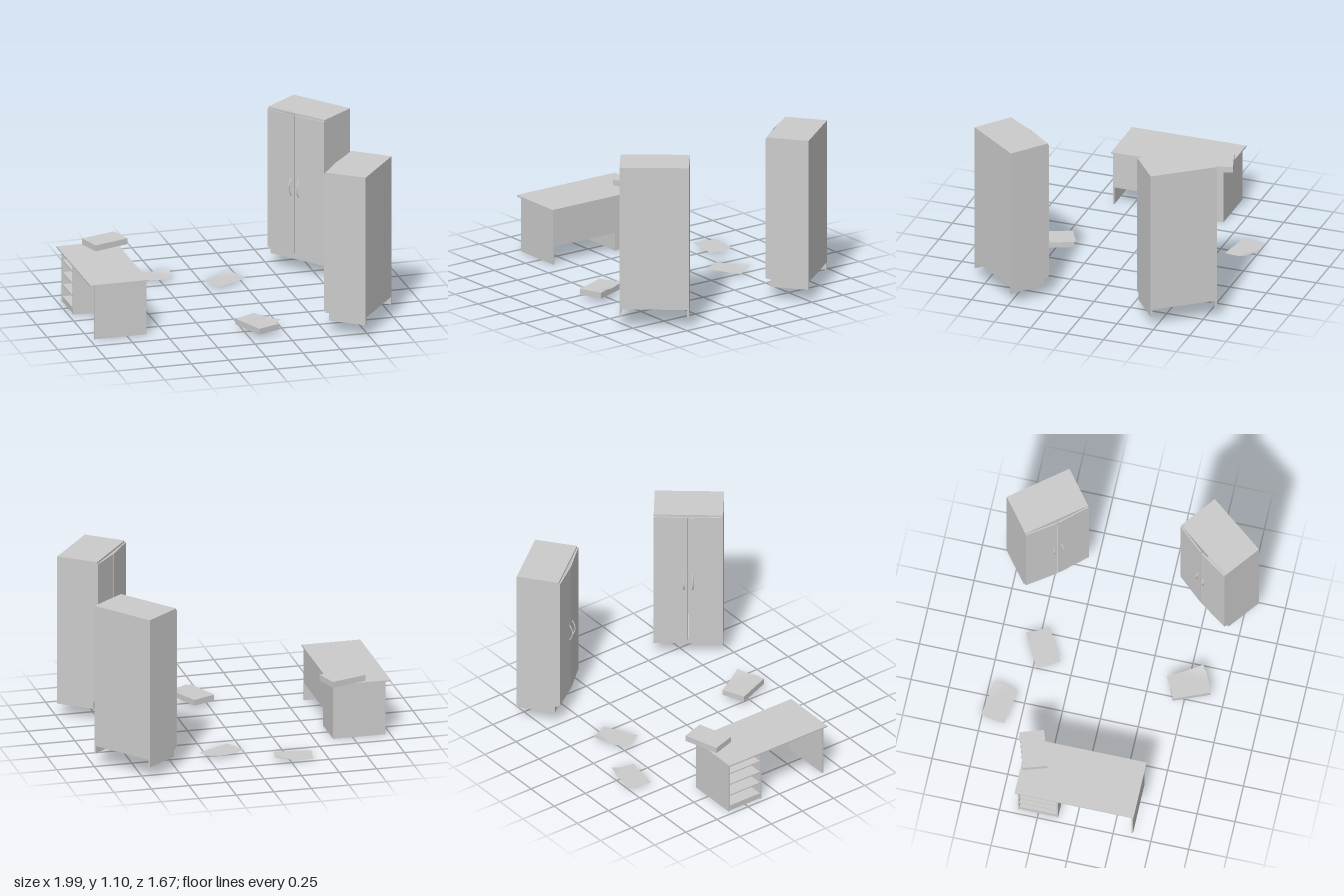
import * as THREE from 'three';

const grey = new THREE.MeshStandardMaterial({ color: 0xcccccc, flatShading: true });
const thin = new THREE.MeshStandardMaterial({ color: 0xcccccc, side: THREE.DoubleSide });

// Box given by its min and max corners
function slab(parent, name, [x0, y0, z0], [x1, y1, z1]) {
  const m = new THREE.Mesh(new THREE.BoxGeometry(x1 - x0, y1 - y0, z1 - z0), grey);
  m.position.set((x0 + x1) / 2, (y0 + y1) / 2, (z0 + z1) / 2);
  m.name = name;
  parent.add(m);
  return m;
}

function makeDesk() {
  const g = new THREE.Group();
  g.name = 'desk';
  const t = 0.01, L = -0.97, R = -0.62, H = 0.365;
  slab(g, 'deskTop', [-1, H, -0.4], [-0.61, 0.375, 0.385]);
  slab(g, 'endPanel', [L, 0, 0.365], [R, H, 0.375]);
  slab(g, 'modestyPanel', [R - t, 0.12, -0.12], [R, H, 0.365]);
  // shelf pedestal, open towards -x
  slab(g, 'pedestalOuterSide', [L, 0, -0.385], [R, H, -0.385 + t]);
  slab(g, 'pedestalInnerSide', [L, 0, -0.12 - t], [R, H, -0.12]);
  slab(g, 'pedestalBack', [R - t, 0, -0.375], [R, H, -0.13]);
  slab(g, 'pedestalPlinth', [L + 0.005, 0, -0.375], [L + 0.015, 0.03, -0.13]);
  for (let i = 0; i < 4; i++) {
    const y = 0.03 + i * 0.083;
    slab(g, 'shelf', [L + 0.005, y, -0.375], [R - t, y + 0.008, -0.13]);
  }
  return g;
}

function makeWardrobe() {
  const g = new THREE.Group();
  g.name = 'wardrobe';
  const w = 0.224, d = 0.14, t = 0.012, y0 = 0.085, yb = 0.135, y1 = 1.095;
  // side panels with a toe notch at the front
  for (const s of [-1, 1]) {
    const x = s * (w - t / 2);
    slab(g, 'sidePanel', [x - t / 2, yb, -d], [x + t / 2, y1, d]);
    slab(g, 'sideFoot', [x - t / 2, y0, -d], [x + t / 2, yb, d - 0.025]);
  }
  slab(g, 'topPanel', [-w + t, y1 - t, -d], [w - t, y1, d]);
  slab(g, 'floorPanel', [-w + t, yb, -d], [w - t, yb + t, d]);
  slab(g, 'backPanel', [-w + t, yb + t, -d], [w - t, y1 - t, -d + 0.008]);
  slab(g, 'plinth', [-w + t, y0, d - 0.037], [w - t, yb, d - 0.025]);
  // doors hinged on the outer edges, slightly ajar
  for (const s of [-1, 1]) {
    const door = new THREE.Group();
    door.name = 'door';
    const len = w - 0.003;
    const x = -s * len;
    slab(door, 'doorPanel', [Math.min(0, x), yb + 0.008, 0], [Math.max(0, x), y1 - 0.012, 0.008]);
    const hx = -s * (len - 0.025);
    const arc = new THREE.QuadraticBezierCurve3(
      new THREE.Vector3(hx, 0.53, 0.006),
      new THREE.Vector3(hx, 0.59, 0.05),
      new THREE.Vector3(hx, 0.65, 0.006));
    const handle = new THREE.Mesh(new THREE.TubeGeometry(arc, 12, 0.004, 6), grey);
    handle.name = 'handle';
    door.add(handle);
    door.position.set(s * w, 0, d);
    door.rotation.y = s * 0.06;
    g.add(door);
  }
  return g;
}

// Paper sheet with one corner curling up
function makeSheet() {
  const geo = new THREE.PlaneGeometry(0.247, 0.16, 14, 10).rotateX(-Math.PI / 2);
  const p = geo.attributes.position;
  for (let i = 0; i < p.count; i++) {
    const u = p.getX(i) / 0.1235, v = -p.getZ(i) / 0.08;
    const k = Math.max(0, (u + v - 0.8) / 1.2);
    p.setY(i, 0.02 * k * k);
  }
  geo.computeVertexNormals();
  const m = new THREE.Mesh(geo, thin);
  m.name = 'paperSheet';
  return m;
}

export function createModel() {
  const model = new THREE.Group();
  model.add(makeDesk());

  for (const s of [-1, 1]) {
    const wardrobe = makeWardrobe();
    wardrobe.position.set(0.745, 0, s * 0.57);
    wardrobe.rotation.y = THREE.MathUtils.degToRad(s < 0 ? -52 : -128);
    model.add(wardrobe);
  }

  // loose papers: x, y, z, turn in degrees
  for (const [x, y, z, a] of [
    [-0.285, 0.014, -0.657, -9.3],
    [0.143, 0.014, -0.465, 28.7],
    [0.095, 0.071, 0.507, -60],
  ]) {
    const sheet = makeSheet();
    sheet.position.set(x, y, z);
    sheet.rotation.y = THREE.MathUtils.degToRad(a);
    model.add(sheet);
  }

  // paper stacks
  for (const [x, y, z, a] of [[-0.693, 0.398, -0.343, 17.7], [0.083, 0.048, 0.515, -68]]) {
    const stack = new THREE.Mesh(new THREE.BoxGeometry(0.247, 0.04, 0.16), grey);
    stack.name = 'paperStack';
    stack.position.set(x, y, z);
    stack.rotation.y = THREE.MathUtils.degToRad(a);
    model.add(stack);
  }
  return model;
}
